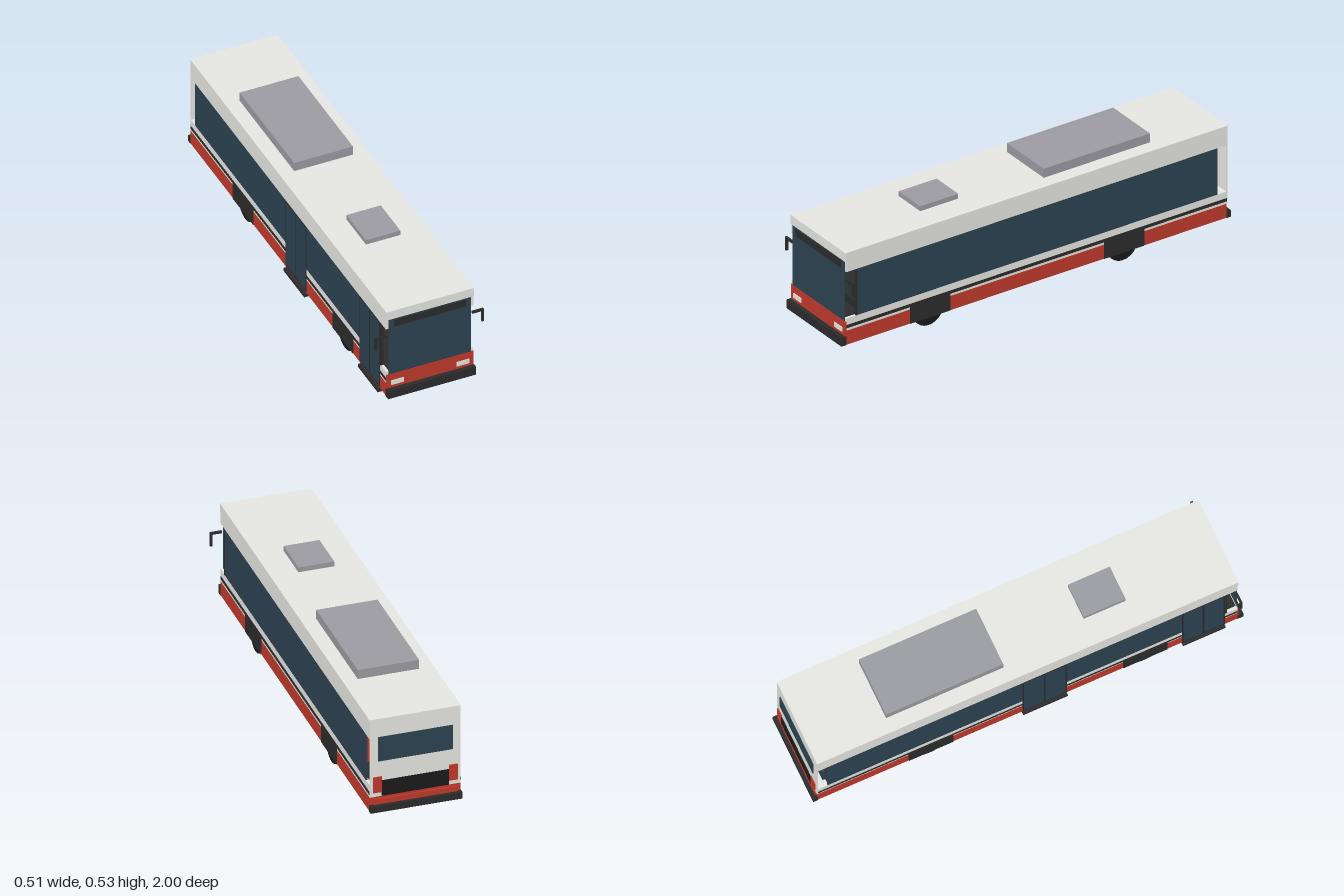
import * as THREE from 'three';

export function createModel() {
  const bus = new THREE.Group();
  bus.name = 'bus';

  const mat = (name, color) => {
    const m = new THREE.MeshStandardMaterial({ color });
    m.name = name;
    return m;
  };
  const white = mat('offWhite', 0xe5e5e1);
  const red = mat('red', 0xc0392b);
  const glass = mat('darkGlass', 0x2c4251);
  const black = mat('blackTrim', 0x2b2b2b);
  const tyre = mat('tyreBlack', 0x1a1a1a);
  const grey = mat('roofGrey', 0x9a9aa1);

  // Box given by its limits on each axis
  const box = (name, m, x0, x1, y0, y1, z0, z1) => {
    const mesh = new THREE.Mesh(new THREE.BoxGeometry(x1 - x0, y1 - y0, z1 - z0), m);
    mesh.position.set((x0 + x1) / 2, (y0 + y1) / 2, (z0 + z1) / 2);
    mesh.name = name;
    bus.add(mesh);
    return mesh;
  };
  // Same box on both sides of the bus
  const pair = (name, m, x0, x1, ...rest) => {
    box(name + 'Left', m, x0, x1, ...rest);
    box(name + 'Right', m, -x1, -x0, ...rest);
  };

  // Lower body: red skirt, light waist with a dark stripe
  box('skirt', red, -0.203, 0.203, 0.044, 0.112, -0.978, 0.974);
  box('waist', white, -0.203, 0.203, 0.112, 0.171, -0.978, 0.974);
  pair('waistStripe', black, 0.203, 0.2045, 0.124, 0.139, -0.978, 0.974);
  box('floor', black, -0.19, 0.19, 0.171, 0.179, -0.93, 0.97);

  // Roof and roof units
  box('roof', white, -0.204, 0.204, 0.395, 0.488, -0.978, 0.974);
  box('airConditioner', grey, -0.137, 0.137, 0.488, 0.531, -0.63, -0.085);
  box('roofHatch', grey, -0.08, 0.08, 0.488, 0.511, 0.315, 0.51);

  // Side window bands with end posts and hidden pillars
  pair('sideWindow', glass, 0.196, 0.2035, 0.171, 0.395, -0.932, 0.917);
  pair('frontPost', black, 0.193, 0.2045, 0.171, 0.395, 0.917, 0.925);
  for (let i = 0; i < 7; i++) {
    const z = -0.762 + i * 0.264;
    pair('pillar', black, 0.19, 0.196, 0.171, 0.395, z - 0.006, z + 0.006);
  }

  // Front face
  box('windscreen', glass, -0.192, 0.192, 0.155, 0.445, 0.974, 0.977);
  box('frontHeader', white, -0.204, 0.204, 0.445, 0.488, 0.974, 0.979);
  box('destinationSign', black, -0.167, 0.167, 0.403, 0.438, 0.977, 0.98);
  box('frontPanel', red, -0.203, 0.203, 0.085, 0.155, 0.974, 0.979);
  pair('headlight', white, 0.123, 0.181, 0.1, 0.122, 0.979, 0.983);
  box('frontBumper', black, -0.205, 0.205, 0.044, 0.085, 0.974, 1);

  // Rear face
  box('rearWall', white, -0.203, 0.203, 0.112, 0.488, -0.982, -0.976);
  box('rearWindow', glass, -0.167, 0.167, 0.283, 0.4, -0.985, -0.982);
  box('engineGrille', tyre, -0.15, 0.15, 0.114, 0.188, -0.986, -0.982);
  pair('tailLight', red, 0.15, 0.188, 0.133, 0.208, -0.987, -0.982);
  box('rearPanel', red, -0.19, 0.19, 0.075, 0.1, -0.985, -0.978);
  box('rearBumper', black, -0.205, 0.205, 0.044, 0.075, -1, -0.978);

  // Wheels and square arch panels
  const wheelGeo = new THREE.CylinderGeometry(0.077, 0.077, 0.048, 24).rotateZ(Math.PI / 2);
  for (const z of [0.545, -0.452]) {
    pair('wheelArch', black, 0.2, 0.2055, 0.044, 0.124, z - 0.103, z + 0.103);
    for (const s of [1, -1]) {
      const wheel = new THREE.Mesh(wheelGeo, tyre);
      wheel.name = 'wheel';
      wheel.position.set(s * 0.169, 0.077, z);
      bus.add(wheel);
    }
  }

  // Two double doors with steps on the right side
  for (const [z0, z1] of [[0.716, 0.914], [-0.027, 0.18]]) {
    const mid = (z0 + z1) / 2;
    box('doorFrame', black, -0.2052, -0.2, 0.05, 0.392, z0, z1);
    box('doorLeafFront', glass, -0.2062, -0.2052, 0.06, 0.386, mid + 0.004, z1 - 0.007);
    box('doorLeafRear', glass, -0.2062, -0.2052, 0.06, 0.386, z0 + 0.007, mid - 0.004);
    box('doorStep', black, -0.214, -0.168, 0.025, 0.04, z0, z1);
  }

  // Mirrors on bent arms
  pair('mirrorArm', black, 0.2, 0.253, 0.35, 0.36, 0.965, 0.975);
  pair('mirror', black, 0.244, 0.253, 0.295, 0.352, 0.963, 0.975);

  // Driver's place and passenger seats, seen through the open corners
  box('driverSeat', black, 0.06, 0.15, 0.179, 0.215, 0.82, 0.9);
  box('driverSeatBack', black, 0.06, 0.15, 0.215, 0.32, 0.81, 0.83);
  for (let i = 0; i < 6; i++) {
    const z = -0.8 + i * 0.26;
    pair('seat', red, 0.07, 0.18, 0.179, 0.22, z, z + 0.08);
    pair('seatBack', red, 0.07, 0.18, 0.22, 0.3, z - 0.015, z);
  }
  box('rearBenchBack', glass, -0.18, 0.18, 0.19, 0.285, -0.945, -0.935);

  return bus;
}
